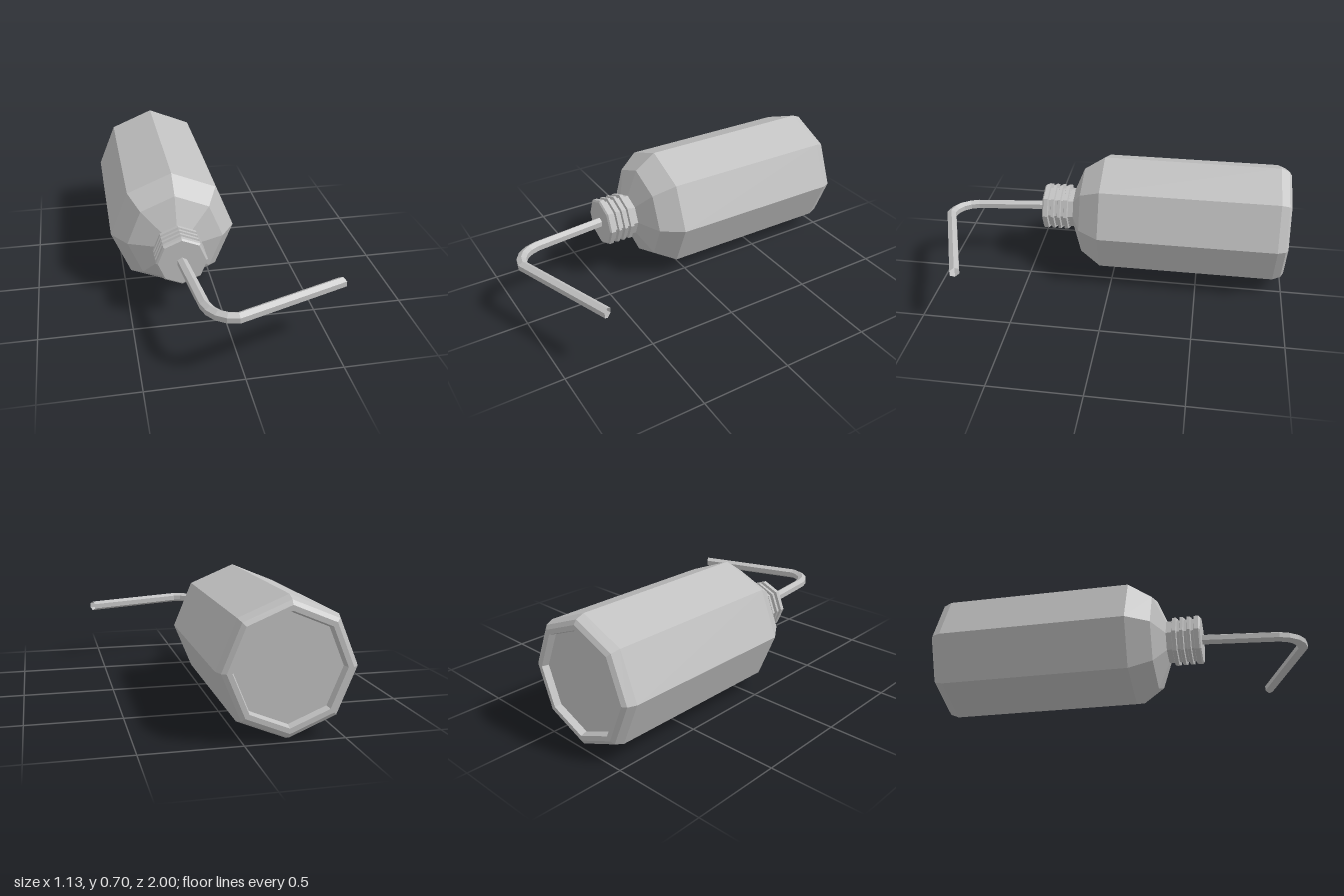
import * as THREE from 'three';

const SIDES = 8;

// Faceted solid of revolution about z; profile is [radius, z] from back to front
function turned(name, profile, material) {
  const geometry = new THREE.LatheGeometry(profile.map(([r, z]) => new THREE.Vector2(r, z)), SIDES);
  geometry.rotateX(Math.PI / 2);
  const mesh = new THREE.Mesh(geometry, material);
  mesh.name = name;
  mesh.position.set(-0.22, 0.35, 0);
  return mesh;
}

// Hexagonal pipe swept along mitred [x, z] points at constant height, ridge on top
function bentPipe(path, radius, height) {
  const n = 6, positions = [], index = [];
  const pts = path.map(([x, z]) => new THREE.Vector2(x, z));
  pts.forEach((p, i) => {
    const a = pts[Math.max(i - 1, 0)], b = pts[Math.min(i + 1, pts.length - 1)];
    const dirIn = (i ? p.clone().sub(a) : b.clone().sub(p)).normalize();
    const dirOut = (i < pts.length - 1 ? b.clone().sub(p) : p.clone().sub(a)).normalize();
    const t = dirIn.clone().add(dirOut).normalize();
    // slanted cut at the spout tip
    if (i === pts.length - 1) t.set(0.85, -0.53).normalize();
    const stretch = radius / t.dot(dirIn);
    for (let k = 0; k < n; k++) {
      const angle = (k / n) * Math.PI * 2;
      const s = Math.sin(angle) * stretch;
      positions.push(p.x - t.y * s, height + Math.cos(angle) * radius, p.y + t.x * s);
      if (i) {
        const k2 = (k + 1) % n, u = (i - 1) * n, v = i * n;
        index.push(u + k, v + k, u + k2, u + k2, v + k, v + k2);
      }
    }
  });
  const geometry = new THREE.BufferGeometry();
  geometry.setAttribute('position', new THREE.Float32BufferAttribute(positions, 3));
  geometry.setIndex(index);
  // outward winding
  for (let i = 0; i < index.length; i += 3) [index[i + 1], index[i + 2]] = [index[i + 2], index[i + 1]];
  geometry.setIndex(index);
  geometry.computeVertexNormals();
  return geometry;
}

export function createModel() {
  const grey = new THREE.MeshStandardMaterial({ color: 0xc0c0c0, flatShading: true, side: THREE.DoubleSide });
  grey.name = 'light grey';

  const model = new THREE.Group();
  model.name = 'washBottle';

  // Bottle with recessed base, chamfered heel, shoulder and neck
  model.add(turned('bottle', [
    [0, -0.965], [0.27, -0.965], [0.28, -1], [0.307, -1], [0.33, -0.985], [0.348, -0.94],
    [0.348, 0.07], [0.266, 0.19], [0.12, 0.25], [0.12, 0.29],
  ], grey));

  // Screw cap with raised ribs
  const cap = [[0, 0.275], [0.122, 0.275]];
  for (const [z0, z1] of [[0.28, 0.308], [0.322, 0.346], [0.36, 0.384], [0.398, 0.424]]) {
    cap.push([0.122, z0], [0.139, z0 + 0.004], [0.139, z1 - 0.004], [0.122, z1]);
  }
  cap.splice(-2, 2, [0.139, 0.426], [0.129, 0.434], [0, 0.434]);
  model.add(turned('cap', cap, grey));

  // Bent spout
  const spout = new THREE.Mesh(bentPipe([
    [-0.222, 0.42], [-0.175, 0.84], [-0.158, 0.89], [-0.128, 0.932],
    [-0.085, 0.96], [-0.035, 0.971], [0.545, 0.766],
  ], 0.029, 0.35), grey);
  spout.name = 'spout';
  model.add(spout);

  return model;
}
